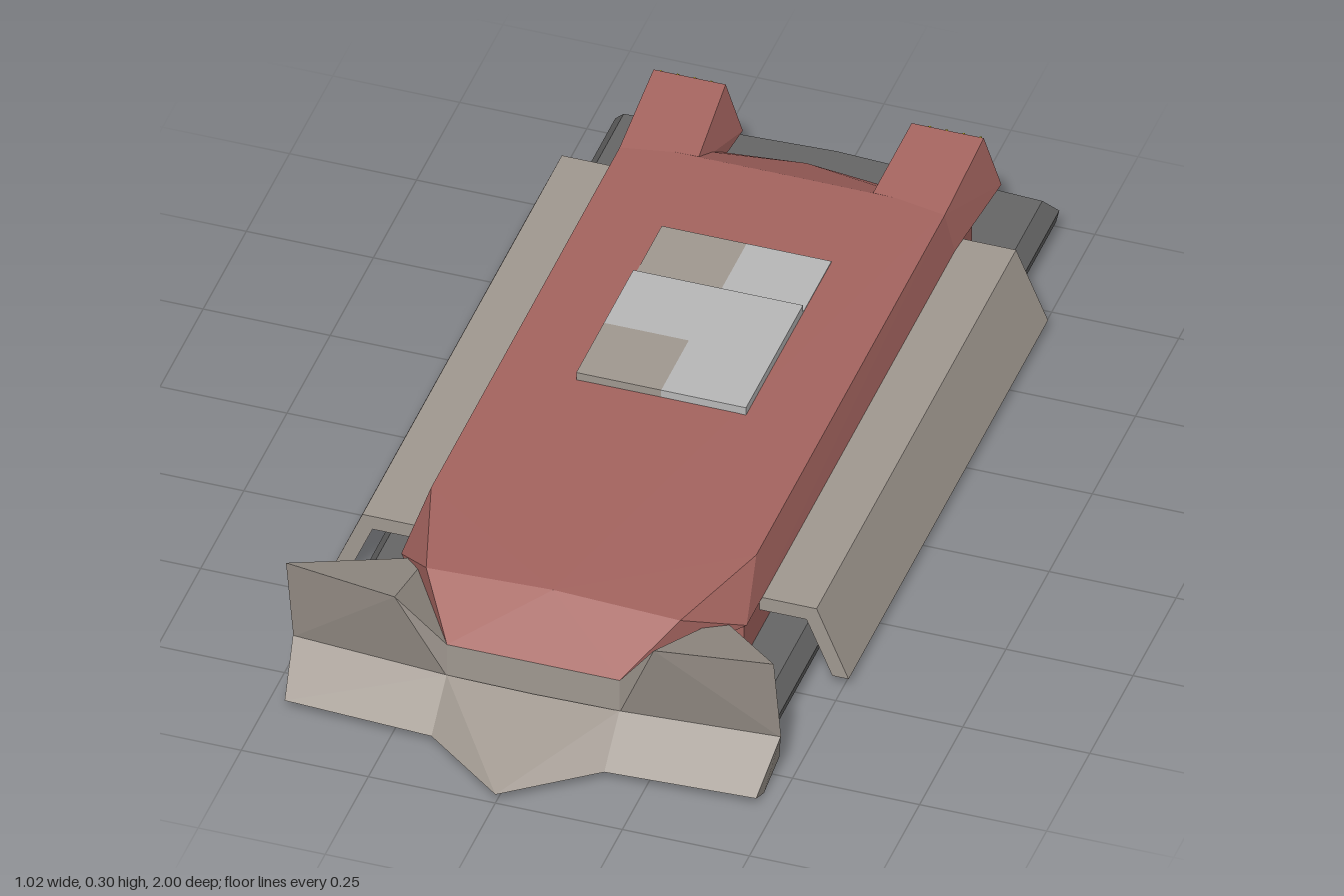
import * as THREE from 'three';
import { ConvexGeometry } from 'three/addons/geometries/ConvexGeometry.js';

const paint = (color) => new THREE.MeshStandardMaterial({ color, flatShading: true });
const RED = paint(0xa4645f), TAUPE = paint(0xa09890), DARK = paint(0x666666);
const LIGHT = paint(0xb8b8b8), YELLOW = paint(0xd8cc20);

export function createModel() {
  const group = new THREE.Group();

  const add = (name, geometry, material) => {
    const mesh = new THREE.Mesh(geometry, material);
    mesh.name = name;
    group.add(mesh);
    return mesh;
  };
  // Faceted solid around a few corner points; side = -1 mirrors it across x.
  const solid = (name, material, points, side = 1) =>
    add(name, new ConvexGeometry(points.map(([x, y, z]) => new THREE.Vector3(x * side, y, z))), material);
  // Same, with every corner repeated on both sides of the centre line.
  const symmetric = (name, material, points) =>
    solid(name, material, points.flatMap(([x, y, z]) => (x ? [[x, y, z], [-x, y, z]] : [[x, y, z]])));
  const box = (name, material, [x0, x1], [y0, y1], [z0, z1]) =>
    add(name, new THREE.BoxGeometry(x1 - x0, y1 - y0, z1 - z0), material)
      .position.set((x0 + x1) / 2, (y0 + y1) / 2, (z0 + z1) / 2);

  // Base hull: stacked outlines with bevelled rims and a slightly pointed stern
  symmetric('baseHull', DARK, [[0, 0.03], [0.03, 0.005], [0.055, 0], [0.09, 0.025]].flatMap(([y, inset]) => [
    [0.437 - inset, y, 0.745 - inset],
    [0.437 - inset, y, -0.98 + inset],
    [0, y, -1 + inset],
  ]));

  // Lower body
  symmetric('lowerBody', RED, [0.08, 0.175].flatMap((y) => [
    [0.335, y, 0.545], [0.335, y, -0.775], [0.17, y, -0.785], [0, y, -0.8],
  ]));

  // Upper body: sloping sides, nose ramp, faint centre ridge and rear ramp
  symmetric('upperBody', RED, [
    [0.34, 0.17, 0.545], [0.17, 0.17, 0.78], [0.34, 0.17, -0.775], [0, 0.17, -0.8],
    [0.32, 0.247, 0.43], [0.25, 0.247, 0.665], [0.17, 0.247, 0.665], [0, 0.257, 0.665],
    [0.32, 0.249, -0.68], [0, 0.25, 0.05], [0, 0.25, -0.68], [0.17, 0.19, -0.78], [0, 0.19, -0.8],
  ]);

  // Roof hatch and the flat panels behind it
  box('hatchRight', LIGHT, [0, 0.167], [0.24, 0.27], [-0.29, 0.04]);
  box('hatchLeftRear', LIGHT, [-0.167, 0], [0.24, 0.27], [-0.29, -0.12]);
  box('hatchLeftFront', TAUPE, [-0.167, 0], [0.24, 0.27], [-0.12, 0.04]);
  box('roofPanelRight', LIGHT, [0, 0.167], [0.24, 0.253], [-0.455, -0.29]);
  box('roofPanelLeft', TAUPE, [-0.167, 0], [0.24, 0.253], [-0.455, -0.29]);

  // Front plough: middle wall between the two wings
  box('ploughWall', TAUPE, [-0.17, 0.17], [0.09, 0.17], [0.6, 0.78]);

  for (const side of [1, -1]) {
    // Raised plough wing, braced back to a narrow edge
    solid('ploughWing', TAUPE, [
      [0.17, 0.095, 0.78], [0.48, 0.095, 0.757], [0.48, 0.3, 0.8], [0.255, 0.3, 0.833],
      [0.17, 0.17, 0.78], [0.29, 0.17, 0.54], [0.29, 0.095, 0.54],
    ], side);

    // Plough skirt: a straight outer blade and half of the pointed beak
    solid('ploughBlade', TAUPE, [
      [0.17, 0.1, 0.782], [0.48, 0.1, 0.76], [0.17, 0.02, 0.87], [0.464, 0.02, 0.855],
      [0.165, 0, 0.82], [0.464, 0, 0.81], [0.17, 0.02, 0.7], [0.464, 0.02, 0.72],
    ], side);
    solid('ploughBeak', TAUPE, [
      [0, 0.1, 0.785], [0.17, 0.1, 0.782], [0, 0.02, 1], [0.17, 0.02, 0.87],
      [0, 0.005, 0.82], [0.165, 0, 0.82], [0, 0.02, 0.7], [0.17, 0.02, 0.7],
    ], side);

    // Side skirt: a bent plate extruded along the body
    const section = [
      [0.33, 0.17], [0.447, 0.17], [0.51, 0.02], [0.478, 0.02], [0.427, 0.14], [0.33, 0.14],
    ].map(([x, y]) => new THREE.Vector2(x * side, y));
    const skirt = new THREE.ExtrudeGeometry(new THREE.Shape(section), { depth: 1.155, bevelEnabled: false });
    add('sideSkirt', skirt, TAUPE).position.z = -0.7;

    // Engine pod flaring up and out at the rear
    solid('enginePod', RED, [
      [0.17, 0.245, -0.66], [0.32, 0.249, -0.66], [0.17, 0.17, -0.66], [0.34, 0.17, -0.66],
      [0.183, 0.277, -0.872], [0.325, 0.277, -0.872], [0.152, 0.17, -0.88], [0.357, 0.17, -0.88],
    ], side);

    // Four slanted exhaust vanes, spreading towards the bottom
    for (let i = 0; i < 4; i++) {
      const at = (t, y, z) => {
        const k = (0.277 - y) / 0.107;
        const left = 0.19 - 0.028 * k, right = 0.318 + 0.03 * k;
        return [left + (right - left) * t, y, z];
      };
      const t0 = i / 4 + 0.03, t1 = (i + 1) / 4 - 0.03;
      solid('exhaustVane', YELLOW, [
        at(t0, 0.268, -0.868), at(t1, 0.268, -0.868), at(t1, 0.268, -0.886),
        at(t0, 0.18, -0.868), at(t1, 0.18, -0.868), at(t1, 0.18, -0.886),
        at(t0, 0.268, -0.876), at(t0, 0.18, -0.881),
      ], side);
    }
  }

  return group;
}
